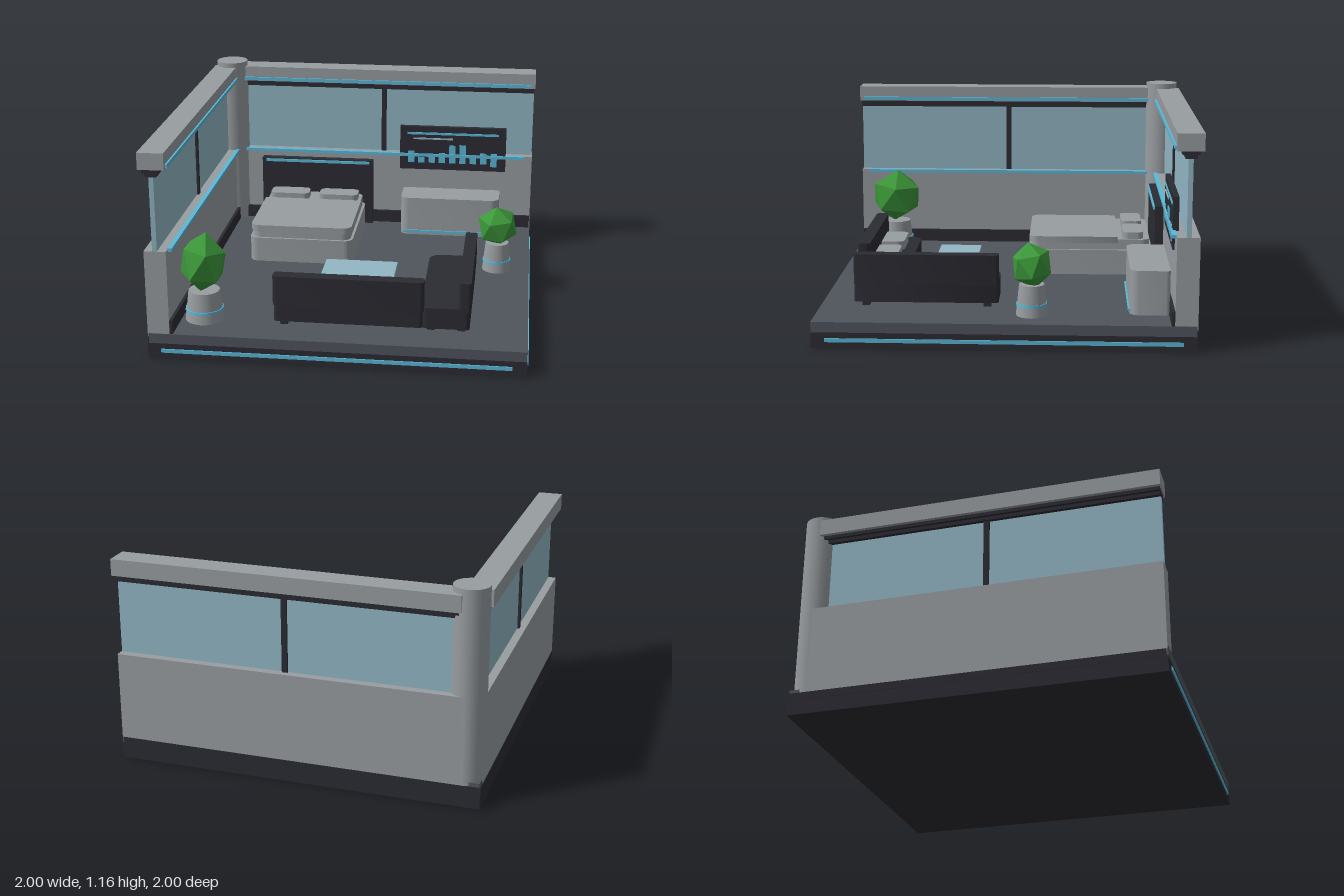
import * as THREE from 'three';
import { toCreasedNormals } from 'three/addons/utils/BufferGeometryUtils.js';

function mat(name, color) {
  const m = new THREE.MeshStandardMaterial({ color });
  m.name = name;
  return m;
}

export function createModel() {
  const root = new THREE.Group();
  const grey = mat('wall grey', 0x989da1);
  const dark = mat('charcoal', 0x2b2b33);
  const slate = mat('floor slate', 0x50555d);
  const glass = mat('glass blue', 0x93b7c4);
  const cyan = mat('light cyan', 0x5ab8d8);
  const green = mat('leaf green', 0x3c983a);

  const add = (name, geo, material, parent = root) => {
    const mesh = new THREE.Mesh(geo, material);
    mesh.name = name;
    parent.add(mesh);
    return mesh;
  };
  const group = (name) => {
    const g = new THREE.Group();
    g.name = name;
    root.add(g);
    return g;
  };
  // Box given by its limits on each axis
  const box = (name, m, x0, x1, y0, y1, z0, z1, parent) => {
    const mesh = add(name, new THREE.BoxGeometry(x1 - x0, y1 - y0, z1 - z0), m, parent);
    mesh.position.set((x0 + x1) / 2, (y0 + y1) / 2, (z0 + z1) / 2);
    return mesh;
  };
  // Box with rounded upright edges; radii: back left-hand, back right-hand, front right-hand, front left-hand in plan
  const slab = (name, m, x0, x1, y0, y1, z0, z1, [a, b, c, d], parent) => {
    const s = new THREE.Shape();
    s.moveTo(x0 + d, -z1);
    s.lineTo(x1 - c, -z1);
    if (c) s.absarc(x1 - c, -z1 + c, c, -Math.PI / 2, 0);
    s.lineTo(x1, -z0 - b);
    if (b) s.absarc(x1 - b, -z0 - b, b, 0, Math.PI / 2);
    s.lineTo(x0 + a, -z0);
    if (a) s.absarc(x0 + a, -z0 - a, a, Math.PI / 2, Math.PI);
    s.lineTo(x0, -z1 + d);
    if (d) s.absarc(x0 + d, -z1 + d, d, Math.PI, Math.PI * 1.5);
    const geo = new THREE.ExtrudeGeometry(s, { depth: y1 - y0, bevelEnabled: false, curveSegments: 6 });
    geo.rotateX(-Math.PI / 2).translate(0, y0, 0);
    return add(name, toCreasedNormals(geo, 0.6), m, parent);
  };
  const all = (r) => [r, r, r, r];

  // Base and floor
  box('base', dark, -0.99, 0.99, 0, 0.085, -0.99, 0.99);
  box('floor', slate, -0.985, 0.99, 0.085, 0.14, -0.985, 0.99);
  box('frontLightStrip', cyan, -0.92, 0.915, 0.035, 0.055, 0.985, 0.997);
  box('rightLightStrip', cyan, 0.985, 0.997, 0.035, 0.055, -0.92, 0.92);

  // The two walls share one layout: u runs along the wall, v across it
  const buildWall = (name, put, lights) => {
    const g = group(name);
    const piece = (n, m, u0, u1, y0, y1, v0, v1) => put(n, m, u0, u1, y0, y1, v0, v1, g);
    piece('footing', dark, -0.99, 0.98, 0.08, 0.12, -0.992, -0.88);
    piece('lowerWall', grey, -0.9, 0.988, 0.12, 0.6, -0.99, -0.873);
    piece('skirting', dark, -0.87, 0.985, 0.14, 0.215, -0.88, -0.856);
    piece('window', glass, -0.88, 0.985, 0.6, 1.0, -0.945, -0.92);
    piece('mullion', dark, 0.043, 0.073, 0.6, 1.0, -0.957, -0.908);
    piece('windowHeadLower', dark, -0.88, 0.985, 1.0, 1.02, -0.965, -0.905);
    piece('windowHead', dark, -0.88, 0.985, 1.02, 1.04, -0.98, -0.89);
    piece('topBeam', grey, -0.87, 0.992, 1.04, 1.13, -1, -0.862);
    piece('beamLight', cyan, -0.85, 0.965, 1.045, 1.065, -0.865, -0.852);
    piece('wallLight', cyan, -0.85, lights, 0.585, 0.603, -0.876, -0.852);
  };
  buildWall('backWall', (n, m, u0, u1, y0, y1, v0, v1, g) => box(n, m, u0, u1, y0, y1, v0, v1, g), 0.94);
  buildWall('sideWall', (n, m, u0, u1, y0, y1, v0, v1, g) => box(n, m, v0, v1, y0, y1, u0, u1, g), 0.945);
  add('cornerColumn', new THREE.CylinderGeometry(0.094, 0.094, 1.06, 24), grey).position.set(-0.897, 0.63, -0.897);

  // Bed
  const bed = group('bed');
  slab('bedBase', grey, -0.655, -0.045, 0.14, 0.285, -0.81, -0.095, all(0.05), bed);
  slab('mattress', grey, -0.64, -0.06, 0.285, 0.345, -0.795, -0.11, all(0.05), bed);
  slab('blanket', grey, -0.648, -0.052, 0.325, 0.362, -0.61, -0.1, [0.01, 0.01, 0.05, 0.05], bed);
  for (const x of [-0.505, -0.2]) slab('pillow', grey, x - 0.12, x + 0.12, 0.345, 0.383, -0.76, -0.64, all(0.035), bed);
  box('headboard', dark, -0.705, -0.003, 0.14, 0.553, -0.868, -0.82, bed);
  box('headboardLight', cyan, -0.68, -0.025, 0.532, 0.548, -0.825, -0.81, bed);

  // Wall display with bar chart
  const display = group('wallDisplay');
  box('displayPanel', dark, 0.165, 0.825, 0.5, 0.777, -0.892, -0.862, display);
  box('titleLine', cyan, 0.21, 0.78, 0.727, 0.741, -0.863, -0.857, display);
  box('subtitleLine', glass, 0.25, 0.495, 0.696, 0.706, -0.863, -0.857, display);
  [0.62, 0.58, 0.6, 0.61, 0.66, 0.665, 0.605, 0.615, 0.615].forEach((top, i) => {
    const x = 0.215 + i * 0.0645;
    box('chartBar', cyan, x, x + 0.04, i === 8 ? 0.53 : 0.545, top, -0.863, -0.857, display);
  });

  // Dresser
  const dresser = group('dresser');
  slab('dresserBody', grey, 0.19, 0.795, 0.14, 0.378, -0.86, -0.65, [0.02, 0.02, 0.05, 0.05], dresser);
  box('dresserLight', cyan, 0.21, 0.775, 0.155, 0.17, -0.655, -0.642, dresser);

  // Corner sofa
  const sofa = group('sofa');
  slab('frontSeat', dark, -0.352, 0.44, 0.165, 0.28, 0.555, 0.81, [0.06, 0, 0.02, 0.02], sofa);
  slab('sideSeat', dark, 0.425, 0.685, 0.165, 0.28, 0.04, 0.81, [0.065, 0.02, 0.02, 0.04], sofa);
  slab('frontBackrest', dark, -0.355, 0.445, 0.262, 0.425, 0.755, 0.825, all(0.02), sofa);
  slab('sideBackrest', dark, 0.625, 0.69, 0.262, 0.425, 0.04, 0.81, all(0.015), sofa);
  for (const x of [-0.145, 0.187]) slab('cushion', grey, x - 0.132, x + 0.132, 0.28, 0.33, 0.625, 0.757, [0.04, 0.04, 0, 0], sofa);
  for (const [x, z] of [[-0.3, 0.62], [-0.3, 0.77], [0.48, 0.1], [0.64, 0.1], [0.48, 0.75], [0.64, 0.75]])
    box('sofaFoot', dark, x - 0.02, x + 0.02, 0.14, 0.165, z - 0.02, z + 0.02, sofa);

  // Coffee table
  const table = group('coffeeTable');
  box('tableTop', glass, -0.155, 0.25, 0.262, 0.282, 0.185, 0.42, table);
  box('tableFrame', grey, -0.135, 0.23, 0.242, 0.262, 0.205, 0.4, table);
  for (const x of [-0.11, 0.205]) for (const z of [0.225, 0.38])
    box('tableLeg', grey, x - 0.018, x + 0.018, 0.14, 0.245, z - 0.018, z + 0.018, table);

  // Potted plants
  const plant = (x, z, r, leafY, scale, turn) => {
    const g = group('plant');
    g.position.set(x, 0, z);
    add('pot', new THREE.CylinderGeometry(r * 0.8, r, 0.165, 20), grey, g).position.y = 0.2225;
    add('potLight', new THREE.CylinderGeometry(r * 0.97, r * 0.98, 0.014, 20), cyan, g).position.y = 0.2;
    const leaves = new THREE.IcosahedronGeometry(1, 0).rotateZ(turn).rotateY(turn * 1.6).scale(...scale);
    leaves.computeVertexNormals();
    add('foliage', leaves, green, g).position.y = leafY;
  };
  plant(-0.735, 0.755, 0.105, 0.462, [0.13, 0.165, 0.16], 0.4);
  plant(0.8, -0.14, 0.083, 0.405, [0.12, 0.122, 0.112], 0.75);

  return root;
}
